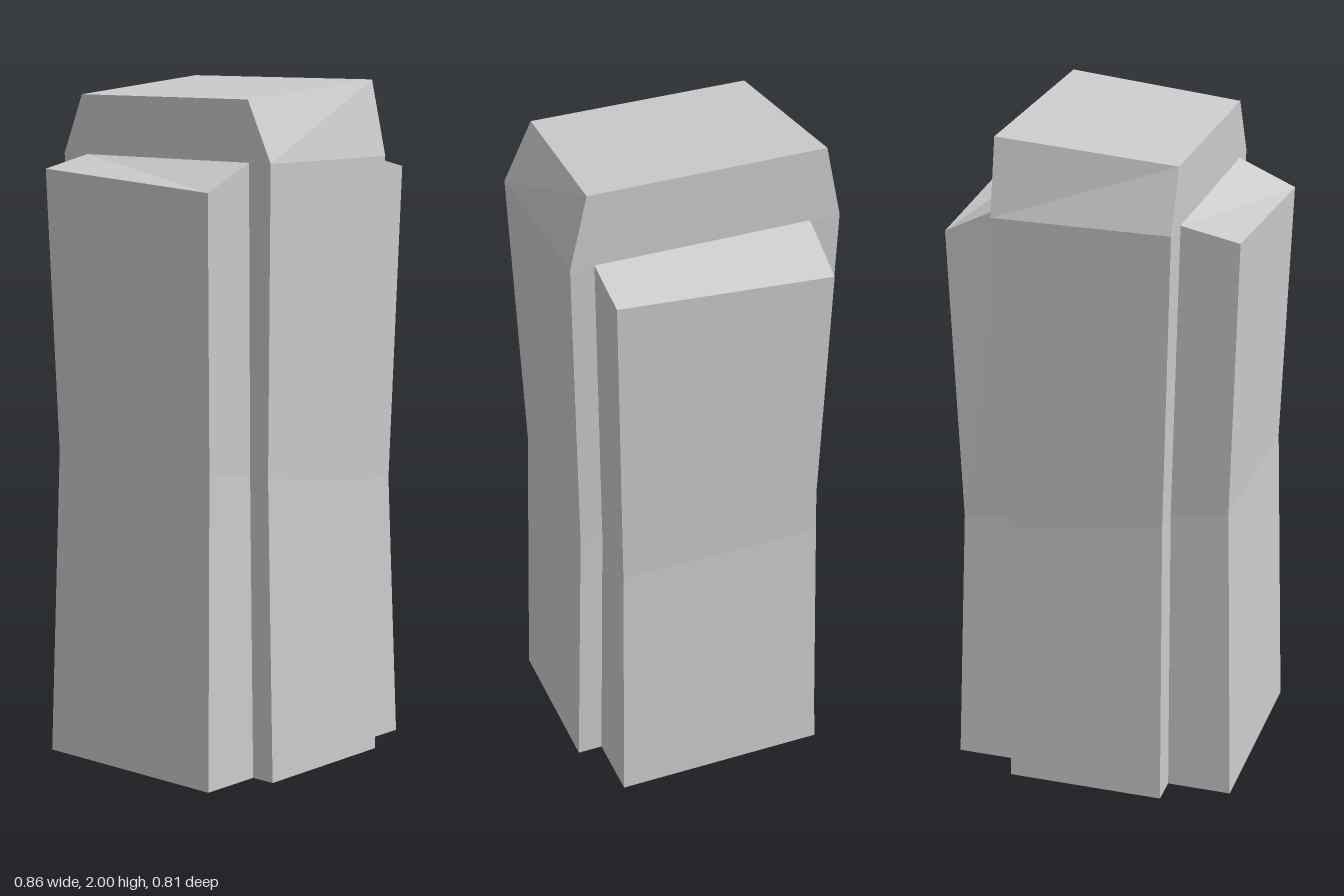
import * as THREE from 'three';

// Closed, faceted solid lofted through four-cornered rings (bottom to top).
// Corner order: front -x, front +x, back +x, back -x.
function loft(name, rings) {
  const pos = [];
  const quad = (a, b, c, d) => pos.push(...a, ...b, ...c, ...a, ...c, ...d);
  for (let r = 0; r < rings.length - 1; r++) {
    for (let i = 0; i < 4; i++) {
      const j = (i + 1) % 4;
      quad(rings[r][i], rings[r][j], rings[r + 1][j], rings[r + 1][i]);
    }
  }
  const [b, t] = [rings[0], rings[rings.length - 1]];
  quad(b[3], b[2], b[1], b[0]);
  quad(t[0], t[1], t[2], t[3]);
  const geo = new THREE.BufferGeometry();
  geo.setAttribute('position', new THREE.Float32BufferAttribute(pos, 3));
  geo.computeVertexNormals();
  const mesh = new THREE.Mesh(geo, new THREE.MeshStandardMaterial({ color: 0xcccccc, flatShading: true }));
  mesh.name = name;
  return mesh;
}

// Ring from x and z limits; y is given by a function of x and z.
function ring(x0, x1, front, back, y) {
  return [[x0, front], [x1, front], [x1, back], [x0, back]].map(([x, z]) => [x, y(x, z), z]);
}

const floor = () => 0;
const waist = (x) => 0.855 - 0.145 * x; // the pinched waist is tilted sideways

export function createModel() {
  const group = new THREE.Group();
  group.name = 'stonePillar';

  // Central slab with a slanted, bevelled cap
  group.add(loft('coreSlab', [
    ring(-0.238, 0.233, 0.4, -0.402, floor),
    ring(-0.233, 0.23, 0.375, -0.381, waist),
    [[-0.26, 1.78, 0.405], [0.26, 1.78, 0.395], [0.26, 1.78, -0.403], [-0.26, 1.78, -0.408]],
    [[-0.26, 1.955, 0.32], [0.26, 2, 0.343], [0.26, 2, -0.357], [-0.26, 1.955, -0.333]],
  ]));

  // Side slabs with outward-sloping, twisted tops
  group.add(loft('leftSideSlab', [
    ring(0.233, 0.43, 0.325, -0.313, floor),
    ring(0.23, 0.402, 0.307, -0.293, waist),
    ring(0.26, 0.43, 0.325, -0.313, (x, z) => (x < 0.3 ? 1.78 : z > 0 ? 1.74 : 1.695)),
  ]));
  group.add(loft('rightSideSlab', [
    ring(-0.43, -0.238, 0.325, -0.313, floor),
    ring(-0.405, -0.233, 0.307, -0.293, waist),
    ring(-0.43, -0.26, 0.325, -0.313, (x, z) => (x > -0.3 ? 1.78 : z > 0 ? 1.705 : 1.745)),
  ]));

  return group;
}
